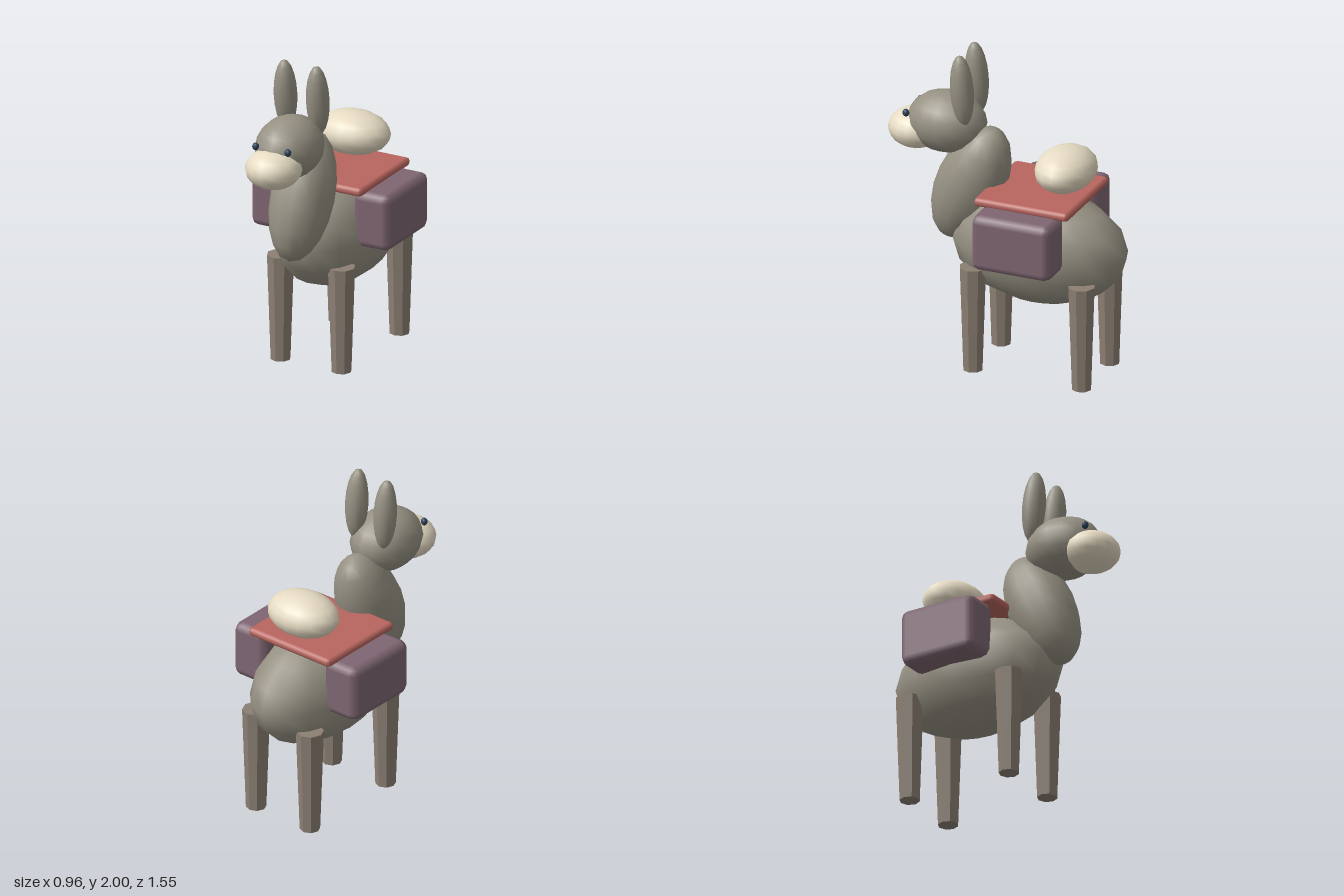
import * as THREE from 'three';
import { RoundedBoxGeometry } from 'three/addons/geometries/RoundedBoxGeometry.js';

const mat = (color, flatShading = false) => new THREE.MeshStandardMaterial({ color, flatShading });

export function createModel() {
  const group = new THREE.Group();
  const fur = mat(0x969183);
  const cream = mat(0xe6dbc3);
  const hoof = mat(0x8c8074, true);
  const cloth = mat(0xb9665f);
  const leather = mat(0x7f6672);
  const dark = mat(0x2c4058);

  const add = (name, geometry, material, pos, tilt = 0) => {
    const mesh = new THREE.Mesh(geometry, material);
    mesh.name = name;
    mesh.position.set(...pos);
    mesh.rotation.x = tilt;
    group.add(mesh);
    return mesh;
  };
  // Sphere stretched to the given half sizes
  const ellipsoid = (name, material, half, pos, tilt = 0, w = 16, h = 10) =>
    add(name, new THREE.SphereGeometry(1, w, h).scale(...half), material, pos, tilt);

  // Trunk, neck and head
  ellipsoid('body', fur, [0.32, 0.36, 0.565], [0, 0.8, -0.21], 0, 16, 8);
  ellipsoid('neck', fur, [0.19, 0.405, 0.212], [0, 1.13, 0.243], -0.42, 14, 10);
  ellipsoid('head', fur, [0.2, 0.192, 0.25], [0, 1.503, 0.402]);
  ellipsoid('muzzle', cream, [0.174, 0.123, 0.175], [0, 1.43, 0.6]);

  // Paired parts
  for (const s of [1, -1]) {
    const side = s > 0 ? 'left' : 'right';
    ellipsoid(side + 'Ear', fur, [0.071, 0.228, 0.072], [s * 0.111, 1.772, 0.256], 0.08, 12, 10);
    ellipsoid(side + 'Eye', dark, [0.021, 0.024, 0.021], [s * 0.111, 1.56, 0.624], 0, 10, 8);
    for (const [end, z] of [['Front', 0.14], ['Back', -0.573]]) {
      add(side + end + 'Leg', new THREE.CylinderGeometry(0.085, 0.062, 0.675, 8), hoof, [s * 0.21, 0.3375, z]);
    }
    add(side + 'Saddlebag', new RoundedBoxGeometry(0.25, 0.36, 0.52, 1, 0.05), leather, [s * 0.353, 0.952, -0.215]);
  }

  // Load on the back
  add('blanket', new RoundedBoxGeometry(0.635, 0.055, 0.62, 1, 0.025), cloth, [0, 1.147, -0.215]);
  ellipsoid('bundle', cream, [0.24, 0.133, 0.182], [0, 1.328, -0.38]);

  return group;
}
